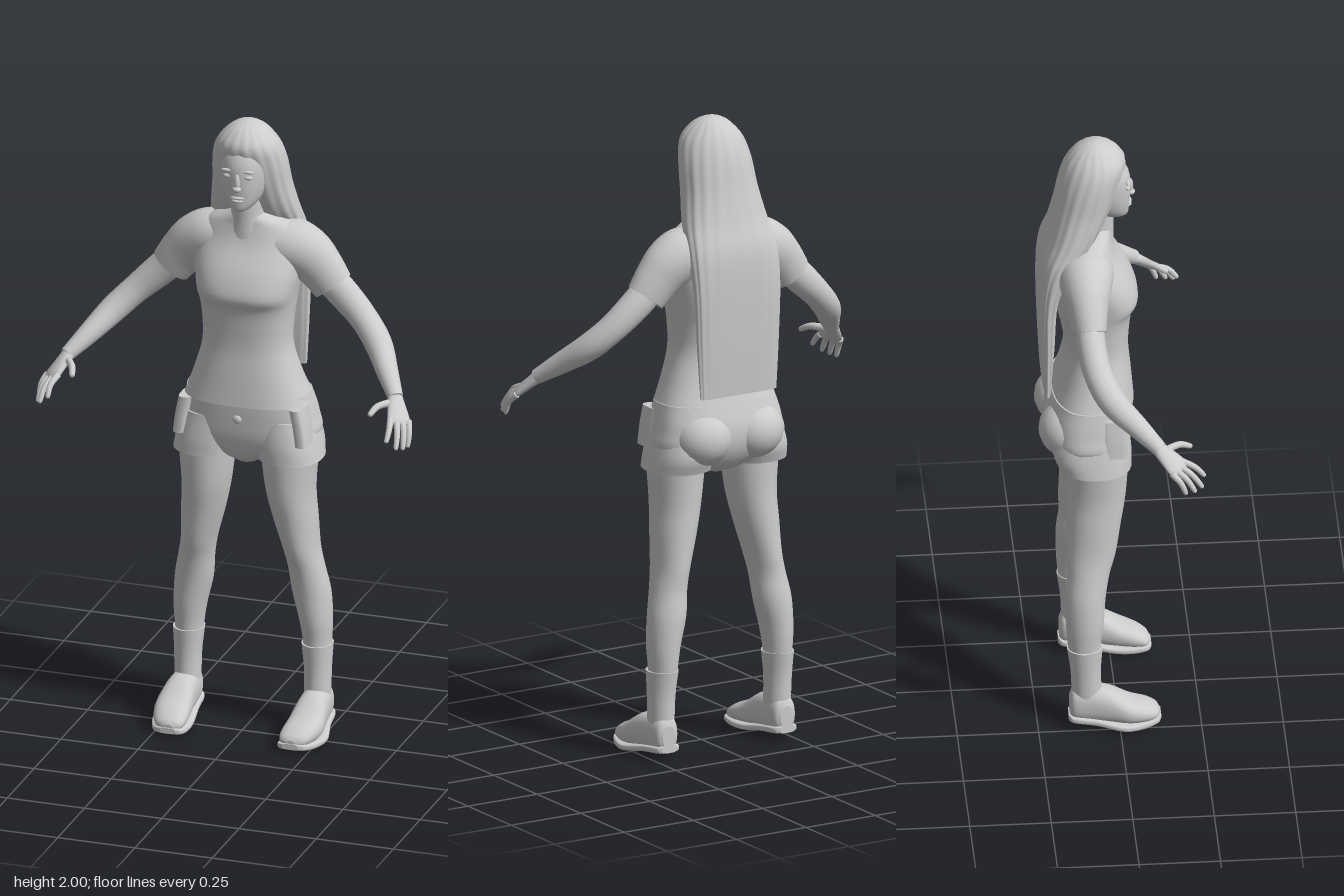
import * as THREE from 'three';

const grey = new THREE.MeshStandardMaterial({ color: 0xcccccc });
grey.name = 'plain grey';
const V = (x, y, z) => new THREE.Vector3(x, y, z);
const UP = V(0, 1, 0), FWD = V(0, 0, 1);

// Skin through superellipse rings. Each row: [x, y, z, radiusU, radiusV, exponent = 2]
function loft(rows, { axis = null, ref = FWD, seg = 28, steps = 5, ripple = 0 } = {}) {
  const path = new THREE.CatmullRomCurve3(rows.map(r => V(r[0], r[1], r[2])), false, 'catmullrom', 0.5);
  const size = new THREE.CatmullRomCurve3(rows.map(r => V(r[3], r[4], r[5] ?? 2)), false, 'catmullrom', 0.5);
  const pos = [], idx = [], n = (rows.length - 1) * steps;
  for (let i = 0; i <= n; i++) {
    const c = path.getPoint(i / n), s = size.getPoint(i / n);
    const t = axis ?? path.getTangent(i / n);
    const u = t.clone().cross(ref).normalize(), v = t.clone().cross(u).normalize();
    for (let j = 0; j < seg; j++) {
      const a = j / seg * Math.PI * 2, e = 2 / s.z;
      const f = 1 + ripple * Math.sin(a * 17);
      const cu = Math.sign(Math.cos(a)) * Math.abs(Math.cos(a)) ** e * Math.max(s.x, 0.001) * f;
      const cv = Math.sign(Math.sin(a)) * Math.abs(Math.sin(a)) ** e * Math.max(s.y, 0.001) * f;
      const p = c.clone().addScaledVector(u, cu).addScaledVector(v, cv);
      pos.push(p.x, p.y, p.z);
    }
  }
  for (let i = 0; i < n; i++) for (let j = 0; j < seg; j++) {
    const k = (j + 1) % seg, a = i * seg + j, b = i * seg + k;
    idx.push(a, b, b + seg, a, b + seg, a + seg);
  }
  // flat end caps with their own vertices
  for (const end of [0, n]) {
    const base = pos.length / 3, c = path.getPoint(end / n);
    pos.push(...pos.slice(end * seg * 3, (end + 1) * seg * 3), c.x, c.y, c.z);
    for (let j = 0; j < seg; j++) {
      const k = (j + 1) % seg;
      if (end) idx.push(base + seg, base + j, base + k);
      else idx.push(base + seg, base + k, base + j);
    }
  }
  const g = new THREE.BufferGeometry();
  g.setAttribute('position', new THREE.Float32BufferAttribute(pos, 3));
  g.setIndex(idx);
  g.computeVertexNormals();
  return g;
}

// Upright rows: [y, centreX, radiusX, frontZ, backZ, exponent]
const upright = (rows, opt) =>
  loft(rows.map(([y, x, rx, f, b, e]) => [x, y, (f + b) / 2, rx, (f - b) / 2, e]), { axis: UP, ...opt });

export function createModel() {
  const model = new THREE.Group();
  model.name = 'standingWoman';
  const add = (name, geometry, parent = model) => {
    const m = new THREE.Mesh(geometry, grey);
    m.name = name;
    parent.add(m);
    return m;
  };
  const ball = (name, p, s, parent) => {
    const m = add(name, new THREE.SphereGeometry(1, 20, 14), parent);
    m.position.set(...p);
    m.scale.set(...s);
    return m;
  };

  // Head and face
  const head = new THREE.Group();
  head.name = 'head';
  model.add(head);
  add('face', upright([
    [1.726, 0, 0.012, 0.033, 0], [1.738, 0, 0.034, 0.043, -0.05], [1.77, 0, 0.058, 0.047, -0.1],
    [1.82, 0, 0.074, 0.05, -0.13], [1.88, 0, 0.079, 0.046, -0.14], [1.94, 0, 0.07, 0.018, -0.13],
  ]), head);
  ball('noseBridge', [0, 1.828, 0.047], [0.01, 0.03, 0.012], head);
  ball('noseTip', [0, 1.808, 0.052], [0.014, 0.01, 0.012], head);
  ball('upperLip', [0, 1.777, 0.044], [0.022, 0.006, 0.01], head);
  ball('lowerLip', [0, 1.767, 0.044], [0.018, 0.006, 0.01], head);
  for (const s of [1, -1]) {
    ball('eye', [s * 0.032, 1.845, 0.038], [0.015, 0.007, 0.009], head);
    ball('brow', [s * 0.034, 1.864, 0.04], [0.02, 0.005, 0.007], head);
  }
  add('neck', upright([[1.62, 0, 0.075, 0, -0.14], [1.68, 0, 0.055, -0.002, -0.12], [1.76, 0, 0.05, 0, -0.11]]));

  // Long hair: cap over the head that narrows to a flat sheet down the back
  add('hair', upright([
    [1.15, 0, 0.135, -0.2, -0.224, 3], [1.3, 0, 0.143, -0.188, -0.232, 3], [1.48, 0, 0.15, -0.175, -0.237, 3],
    [1.6, 0, 0.152, -0.125, -0.232, 2.8], [1.69, 0, 0.14, -0.055, -0.208, 2.4], [1.78, 0, 0.124, -0.012, -0.187, 2.3],
    [1.87, 0, 0.115, 0.02, -0.17, 2.1], [1.93, 0, 0.098, 0.034, -0.15, 2], [1.97, 0, 0.066, 0.01, -0.122, 2],
    [1.992, 0, 0.034, -0.025, -0.09, 2], [2.0, 0, 0.003, -0.055, -0.061, 2],
  ], { seg: 102, ripple: 0.012 }));

  // Shirt
  const shirt = new THREE.Group();
  shirt.name = 'shirt';
  model.add(shirt);
  add('shirtBody', upright([
    [1.09, 0, 0.2, 0.058, -0.2, 2.5], [1.18, 0, 0.166, 0.05, -0.172, 2.4], [1.27, 0, 0.141, 0.042, -0.155, 2.4],
    [1.35, 0, 0.142, 0.046, -0.165, 2.4], [1.405, 0, 0.148, 0.054, -0.178, 2.5], [1.45, 0, 0.155, 0.072, -0.188, 2.6],
    [1.52, 0, 0.168, 0.052, -0.195, 2.4], [1.6, 0, 0.168, 0.008, -0.195, 2.3], [1.655, 0, 0.145, -0.008, -0.17, 2],
    [1.685, 0, 0.085, -0.01, -0.135, 2], [1.7, 0, 0.05, -0.012, -0.11, 2],
  ], { seg: 48 }));

  // Shorts
  const shorts = new THREE.Group();
  shorts.name = 'shorts';
  model.add(shorts);
  add('shortsSeat', upright([
    [0.88, 0, 0.035, -0.02, -0.11], [0.91, 0, 0.1, 0.015, -0.17, 2.2], [0.97, 0, 0.215, 0.038, -0.208, 2.5],
    [1.04, 0, 0.212, 0.046, -0.215, 2.5], [1.115, 0, 0.194, 0.05, -0.195, 2.5],
  ], { seg: 40 }));
  ball('waistButton', [0, 1.045, 0.046], [0.014, 0.014, 0.008], shorts);

  for (const s of [1, -1]) {
    const side = s > 0 ? 'left' : 'right';
    const mx = rows => rows.map(([x, ...r]) => [s * x, ...r]);
    const mu = rows => rows.map(([y, x, ...r]) => [y, s * x, ...r]);

    // Sleeve with a short shoulder bulge
    add(side + 'Sleeve', loft(mx([
      [0.07, 1.6, -0.095, 0.07, 0.085], [0.13, 1.585, -0.097, 0.085, 0.085], [0.18, 1.56, -0.098, 0.083, 0.075],
      [0.222, 1.52, -0.097, 0.074, 0.062], [0.262, 1.468, -0.095, 0.066, 0.052],
    ])), shirt);

    // Arm
    add(side + 'Arm', loft(mx([
      [0.23, 1.51, -0.095, 0.052, 0.045], [0.3, 1.445, -0.092, 0.05, 0.045], [0.37, 1.38, -0.075, 0.044, 0.044],
      [0.43, 1.32, -0.035, 0.042, 0.043], [0.485, 1.26, 0.038, 0.033, 0.034], [0.532, 1.21, 0.1, 0.023, 0.024],
    ]), { seg: 20 }));

    // Hand: flat palm, four fingers and a thumb
    const hand = new THREE.Group();
    hand.name = side + 'Hand';
    model.add(hand);
    const normal = V(s * 0.53, 0.78, 0.33);
    add('palm', loft(mx([
      [0.525, 1.217, 0.09, 0.022, 0.02], [0.545, 1.185, 0.125, 0.032, 0.016],
      [0.56, 1.16, 0.152, 0.038, 0.013], [0.566, 1.15, 0.162, 0.03, 0.008],
    ]), { ref: normal, seg: 18 }), hand);
    const finger = (name, a, b, c, r) => add(name, loft(mx([
      [...a, r, r], [...b, r * 0.9, r * 0.9], [...c.map((v, i) => v * 0.85 + b[i] * 0.15), r * 0.7, r * 0.7], [...c, 0.002, 0.002],
    ]), { ref: normal, seg: 10, steps: 4 }), hand);
    const tips = [[0.548, 1.115, 0.238], [0.577, 1.092, 0.229], [0.591, 1.085, 0.206], [0.597, 1.083, 0.177]];
    tips.forEach((tip, k) => {
      const f = k / 3, base = [0.538 + 0.046 * f, 1.167 - 0.014 * f, 0.168 - 0.036 * f];
      const mid = base.map((v, i) => (v + tip[i]) / 2 + [0.005, 0.008, 0.004][i]);
      finger('finger', base, mid, tip, 0.0105);
    });
    finger('thumb', [0.523, 1.2, 0.118], [0.495, 1.2, 0.162], [0.48, 1.182, 0.202], 0.012);

    // Shorts leg, buttock and pocket edge
    add(side + 'ShortsLeg', upright(mu([
      [0.905, 0.136, 0.102, 0.043, -0.182, 2.2], [0.96, 0.128, 0.1, 0.043, -0.2, 2.3], [1.04, 0.11, 0.1, 0.035, -0.19, 2.2],
    ])), shorts);
    ball(side + 'Buttock', [s * 0.092, 1.01, -0.145], [0.098, 0.09, 0.094], shorts);
    add(side + 'Pocket', loft(mx([
      [0.198, 0.97, -0.01, 0.022, 0.045, 3], [0.19, 1.03, -0.01, 0.022, 0.045, 3], [0.178, 1.09, -0.01, 0.022, 0.045, 3],
    ]), { axis: UP }), shorts);

    // Leg
    add(side + 'Leg', upright(mu([
      [0.13, 0.21, 0.036, -0.06, -0.14], [0.28, 0.207, 0.044, -0.057, -0.157], [0.36, 0.203, 0.052, -0.047, -0.163],
      [0.45, 0.19, 0.06, -0.04, -0.165], [0.53, 0.178, 0.056, -0.027, -0.157], [0.6, 0.165, 0.056, -0.007, -0.159],
      [0.7, 0.149, 0.068, 0.01, -0.157], [0.8, 0.136, 0.077, 0.026, -0.155], [0.93, 0.133, 0.09, 0.035, -0.16],
    ])));
    add(side + 'Sock', upright(mu([
      [0.11, 0.21, 0.041, -0.054, -0.146], [0.2, 0.21, 0.043, -0.056, -0.15], [0.28, 0.208, 0.049, -0.05, -0.161],
    ])));

    // Shoe: upper and sole, running from heel to toe
    add(side + 'ShoeUpper', loft(mx([
      [0.213, 0.075, -0.153, 0.022, 0.035, 2.3], [0.212, 0.08, -0.138, 0.038, 0.056, 2.4], [0.212, 0.08, -0.09, 0.045, 0.062, 2.4],
      [0.214, 0.072, -0.03, 0.051, 0.058, 2.4], [0.214, 0.053, 0.03, 0.057, 0.041, 2.4], [0.206, 0.042, 0.08, 0.053, 0.031, 2.3],
      [0.2, 0.034, 0.112, 0.04, 0.02, 2.2], [0.198, 0.03, 0.124, 0.016, 0.01, 2],
    ]), { axis: FWD, ref: UP }));
    add(side + 'ShoeSole', loft(mx([
      [0.213, 0.038, -0.156, 0.025, 0.012, 4], [0.212, 0.036, -0.14, 0.042, 0.012, 4], [0.213, 0.028, -0.07, 0.05, 0.012, 4],
      [0.216, 0.014, 0.01, 0.065, 0.012, 4], [0.208, 0.012, 0.07, 0.06, 0.012, 4], [0.2, 0.017, 0.115, 0.046, 0.011, 4],
      [0.198, 0.02, 0.128, 0.025, 0.009, 4],
    ]), { axis: FWD, ref: UP }));
  }
  // The seat joins the rest of the shorts
  shorts.add(model.getObjectByName('shortsSeat'));
  return model;
}
